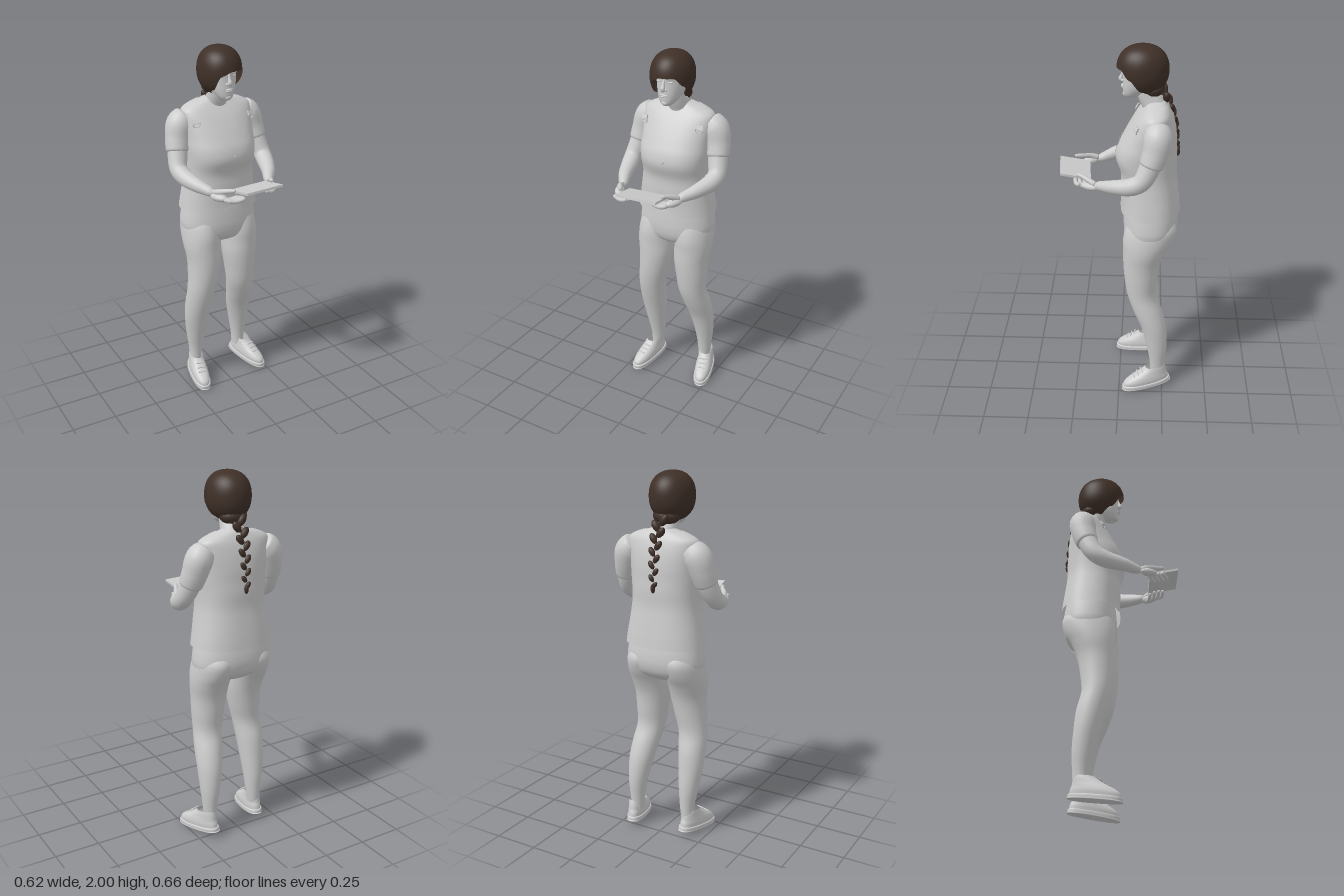
import * as THREE from 'three';
import { mergeVertices } from 'three/addons/utils/BufferGeometryUtils.js';

const mat = (name, color, side = THREE.DoubleSide) => {
  const m = new THREE.MeshStandardMaterial({ color, side });
  m.name = name;
  return m;
};
const grey = mat('lightGrey', 0xcccccc);
const brown = mat('darkBrown', 0x3f3028);

// Smooth surface from a rule fn(u, v) -> [x, y, z]
function surface(fn, nu, nv) {
  const pos = [], idx = [];
  for (let i = 0; i <= nu; i++) for (let j = 0; j <= nv; j++) pos.push(...fn(i / nu, j / nv));
  for (let i = 0; i < nu; i++) for (let j = 0; j < nv; j++) {
    const a = i * (nv + 1) + j, c = a + nv + 1;
    idx.push(a, a + 1, c, a + 1, c + 1, c);
  }
  let g = new THREE.BufferGeometry();
  g.setAttribute('position', new THREE.Float32BufferAttribute(pos, 3));
  g.setIndex(idx);
  g = mergeVertices(g, 1e-5);
  g.computeVertexNormals();
  return g;
}

// Catmull-Rom blend of number rows
function sample(rows, t) {
  const f = t * (rows.length - 1), i = Math.min(Math.floor(f), rows.length - 2), k = f - i;
  const at = n => rows[Math.max(0, Math.min(rows.length - 1, n))];
  const [a, b, c, d] = [at(i - 1), at(i), at(i + 1), at(i + 2)];
  return b.map((_, n) => b[n] + 0.5 * k * (c[n] - a[n] + k * (2 * a[n] - 5 * b[n] + 4 * c[n] - d[n]
    + k * (3 * (b[n] - c[n]) + d[n] - a[n]))));
}
const pw = (s, e) => Math.sign(s) * Math.abs(s) ** e;

// Horizontal rings [x, y, z, rx, rz], bottom to top
function loft(rows, { power = 2, grow = 0, open = () => 0, lift = () => 0, nu = 48, nv = 40 } = {}) {
  return surface((u, v) => {
    const [x, y, z, rx, rz] = sample(rows, u);
    const o = open(y), a = o + v * (Math.PI * 2 - 2 * o);
    return [x + (rx + grow) * pw(Math.sin(a), 2 / power), y + lift(u, a),
      z + (rz + grow) * pw(Math.cos(a), 2 / power)];
  }, nu, nv);
}

// Rounded tube through points [x, y, z, r]
function limb(pts, nu = 32, nv = 18) {
  const curve = new THREE.CatmullRomCurve3(pts.map(p => new THREE.Vector3(p[0], p[1], p[2])));
  const fr = curve.computeFrenetFrames(nu, false);
  return surface((u, v) => {
    const i = Math.round(u * nu), t = curve.getUtoTmapping(u), p = curve.getPoint(t);
    const r = sample(pts, t)[3] * Math.sqrt(Math.min(1, u * 14, (1 - u) * 14)), a = v * Math.PI * 2;
    p.addScaledVector(fr.normals[i], r * Math.cos(a)).addScaledVector(fr.binormals[i], r * Math.sin(a));
    return [p.x, p.y, p.z];
  }, nu, nv);
}

export function createModel() {
  const model = new THREE.Group();
  const add = (name, geo, material = grey, parent = model) => {
    const m = new THREE.Mesh(geo, material);
    m.name = name;
    parent.add(m);
    return m;
  };
  const ball = (name, p, s, material = grey, parent = model) => {
    const m = add(name, new THREE.SphereGeometry(1, 20, 14), material, parent);
    m.position.set(...p);
    m.scale.set(...s);
    return m;
  };

  // Shirt and sleeveless vest with a V neck
  const torso = [
    [0, 1.1, -.165, .222, .162], [0, 1.16, -.163, .213, .158], [0, 1.24, -.157, .2, .154],
    [0, 1.32, -.152, .19, .15], [0, 1.4, -.14, .192, .163], [0, 1.46, -.142, .196, .158],
    [0, 1.52, -.155, .196, .143], [0, 1.58, -.168, .2, .123], [0, 1.63, -.178, .203, .102],
    [0, 1.665, -.185, .195, .083], [0, 1.69, -.188, .15, .067], [0, 1.705, -.188, .1, .058]];
  add('vest', loft(torso, {
    power: 2.35, nu: 60, nv: 64,
    open: y => Math.max(0, (y - 1.43) / .27) * .8,
    lift: (u, a) => u < .06 ? .028 * Math.exp(-((Math.min(a, 6.2832 - a) / .16) ** 2)) * (1 - u / .06) : 0,
  }));
  add('shirt', loft([...torso.slice(3), [0, 1.715, -.185, .062, .05]], { power: 2.35, grow: -.008 }));
  ball('zipPull', [.008, 1.425, .024], [.005, .011, .004]);
  for (const s of [-1, 1]) {
    const tab = new THREE.Group();
    tab.name = 'chestTab';
    tab.position.set(s * .165, 1.605, -.083);
    tab.rotation.set(-.5, s * .35, 0);
    model.add(tab);
    add('tabPlate', new THREE.BoxGeometry(.036, .024, .008), grey, tab).position.y = .012;
    add('tabLoop', new THREE.TorusGeometry(.019, .003, 8, 16, Math.PI), grey, tab).rotation.set(.5, 0, Math.PI);
  }

  // Trousers
  add('hips', loft([[0, .885, -.15, .03, .03], [0, .915, -.153, .12, .1], [0, .95, -.162, .2, .133],
    [0, 1, -.167, .219, .147], [0, 1.06, -.168, .215, .147], [0, 1.14, -.165, .2, .138]], { power: 2.3 }));
  // y, left x, right x, left z, right z, rx, rz
  const legRows = [
    [.1, .162, -.145, -.22, -.19, .034, .038], [.18, .163, -.143, -.22, -.188, .041, .045],
    [.28, .16, -.146, -.215, -.178, .054, .059], [.4, .15, -.148, -.195, -.158, .069, .071],
    [.5, .138, -.145, -.16, -.138, .076, .08], [.6, .123, -.137, -.125, -.115, .08, .08],
    [.7, .118, -.122, -.12, -.113, .089, .091], [.8, .113, -.113, -.123, -.12, .098, .102],
    [.88, .116, -.116, -.138, -.136, .105, .117], [.95, .115, -.115, -.156, -.156, .106, .136],
    [1.02, .109, -.109, -.172, -.172, .102, .138], [1.08, .1, -.1, -.17, -.17, .08, .11]];
  for (const k of [0, 1])
    add(k ? 'rightLeg' : 'leftLeg', loft(legRows.map(r => [r[1 + k], r[0], r[3 + k], r[5], r[6]])));

  // Shoes with soles and laces, heels slightly raised
  const addShoe = (name, x, z, turn) => {
    const g = new THREE.Group();
    g.name = name;
    g.position.set(x, .018, z);
    g.rotation.set(.13, turn, 0, 'YXZ');
    model.add(g);
    add('sole', loft([[0, 0, 0, .001, .001], [0, 0, 0, .046, .134], [0, .008, 0, .051, .141],
      [0, .024, 0, .051, .141], [0, .027, 0, .044, .13]], { power: 2.5, nu: 20 }), grey, g);
    add('upper', loft([[0, .024, 0, .046, .135], [0, .045, -.003, .048, .131], [0, .065, -.015, .046, .114],
      [0, .085, -.038, .042, .09], [0, .105, -.058, .039, .067], [0, .12, -.066, .036, .055]],
    { power: 2.3 }), grey, g);
    for (let i = 0; i < 3; i++) {
      const lace = add('lace', new THREE.CapsuleGeometry(.004, .042, 3, 8), grey, g);
      lace.rotation.z = Math.PI / 2;
      lace.position.set(0, .079 + .014 * i, .066 - .024 * i);
    }
  };
  addShoe('leftShoe', .195, -.16, .26);
  addShoe('rightShoe', -.163, -.115, -.17);

  // Arms, sleeves and hands holding the tablet
  for (const s of [-1, 1]) {
    const side = s > 0 ? 'left' : 'right', w = s > 0 ? .167 : .187, dz = s > 0 ? 0 : .03;
    const m = pts => pts.map(([x, y, z, r]) => [s * x, y, z, r]);
    add(side + 'Sleeve', limb(m([[.16, 1.63, -.195, .06], [.205, 1.585, -.197, .074],
      [.228, 1.51, -.185, .068], [.243, 1.435, -.16, .06], [.244, 1.43, -.158, .052]])));
    add(side + 'Arm', limb(m([[.225, 1.53, -.185, .055], [.245, 1.43, -.155, .054], [.26, 1.36, -.115, .048],
      [.25, 1.33, -.06, .046], [(w + .25) / 2 + .005, 1.31, .03, .037], [w, 1.293, .11, .025],
      [w - .006, 1.288, .14, .024]])));
    const hand = new THREE.Group();
    hand.name = side + 'Hand';
    model.add(hand);
    const palm = ball('palm', [s * (w - .016), 1.282, .155 + dz / 2], [.026, .021, .052], grey, hand);
    palm.rotation.y = -s * .45;
    for (let i = 0; i < 4; i++) {
      const z = .148 + .024 * i + dz, y = 1.27 + .005 * i;
      add('finger', limb(m([[w - .012 - .004 * i, y, z - .012, .012], [.115, y - .005, z + .008, .0115],
        [.085, y + .002, z + .015, .0105], [.055 + .008 * Math.abs(i - 1.5), y + .01, z + .018, .009]]),
      16, 10), grey, hand);
    }
    add('thumb', limb(m([[w - .002, 1.295, .12, .016], [w - .018, 1.312, .155 + dz / 2, .015],
      [.132, 1.327, .19 + dz, .012], [.116, 1.337, .225 + dz, .009]]), 16, 10), grey, hand);
  }
  const tablet = add('tablet', new THREE.BoxGeometry(.225, .012, .163));
  tablet.position.set(.012, 1.322, .24);
  tablet.rotation.set(-.2, .09, 0, 'YXZ');

  // Neck, head and face
  add('neck', limb([[0, 1.6, -.19, .075], [0, 1.68, -.175, .062], [-.004, 1.74, -.145, .055],
    [-.006, 1.82, -.13, .055]]));
  add('head', loft([[-.007, 1.722, -.05, .004, .004], [-.007, 1.726, -.053, .024, .026],
    [-.007, 1.745, -.066, .044, .05], [-.007, 1.78, -.09, .063, .077], [-.007, 1.82, -.105, .073, .091],
    [-.008, 1.86, -.113, .078, .098], [-.009, 1.91, -.117, .08, .105], [-.01, 1.96, -.117, .06, .08],
    [-.01, 1.98, -.117, .02, .02]], { power: 2.15 }));
  add('nose', limb([[-.007, 1.868, -.018, .006], [-.007, 1.84, -.009, .009], [-.007, 1.82, -.004, .013],
    [-.007, 1.812, -.014, .01]], 18, 12));
  for (const s of [-1, 1]) {
    ball('nostril', [-.007 + s * .012, 1.815, -.013], [.008, .007, .009]);
    ball('eye', [-.007 + s * .031, 1.855, -.028], [.015, .007, .009]);
    ball('brow', [-.007 + s * .032, 1.873, -.025], [.021, .006, .011]);
  }
  ball('upperLip', [-.007, 1.787, -.013], [.022, .005, .009]);
  ball('lowerLip', [-.007, 1.778, -.015], [.018, .006, .01]);
  ball('chin', [-.007, 1.742, -.028], [.021, .016, .016]);

  // Swept hair: lower edge height by angle in degrees from the front
  const edge = [[-180, 1.745], [-120, 1.745], [-80, 1.75], [-50, 1.785], [-25, 1.865], [0, 1.885],
    [35, 1.885], [60, 1.84], [85, 1.775], [120, 1.75], [180, 1.745]];
  const edgeY = deg => {
    const i = Math.max(1, edge.findIndex(e => e[0] >= deg)), [a, b] = [edge[i - 1], edge[i]];
    const k = (deg - a[0]) / (b[0] - a[0]);
    return a[1] + (b[1] - a[1]) * k * k * (3 - 2 * k);
  };
  add('hair', surface((u, v) => {
    const deg = -180 + 360 * v, a = deg * Math.PI / 180, cy = 1.872, ry = .128;
    const c = (edgeY(deg) - cy) / ry, tMax = Math.acos(Math.max(-.99, pw(c, 1 / .9)));
    const t = tMax * (1 - u), r = Math.sin(t) ** .85;
    return [-.01 + .116 * r * Math.sin(a), cy + ry * pw(Math.cos(t), .9), -.115 + .135 * r * Math.cos(a)];
  }, 28, 72), brown);
  ball('napeHair', [-.008, 1.775, -.17], [.075, .045, .06], brown);

  // Braid of alternating strands
  const braid = new THREE.Group();
  braid.name = 'braid';
  model.add(braid);
  const path = new THREE.CatmullRomCurve3([[1.76, -.225], [1.68, -.262], [1.58, -.29], [1.44, -.305]]
    .map(([y, z]) => new THREE.Vector3(-.005, y, z)));
  for (let i = 0; i < 11; i++) {
    const p = path.getPointAt(i / 10), s = i % 2 ? 1 : -1, k = 1 - .045 * i;
    const strand = ball('strand', [p.x + s * .019 * k, p.y, p.z], [.021 * k, .036 * k, .021 * k], brown, braid);
    strand.rotation.z = s * -.6;
  }
  ball('braidTip', [-.005, 1.42, -.305], [.012, .025, .012], brown, braid);
  return model;
}
